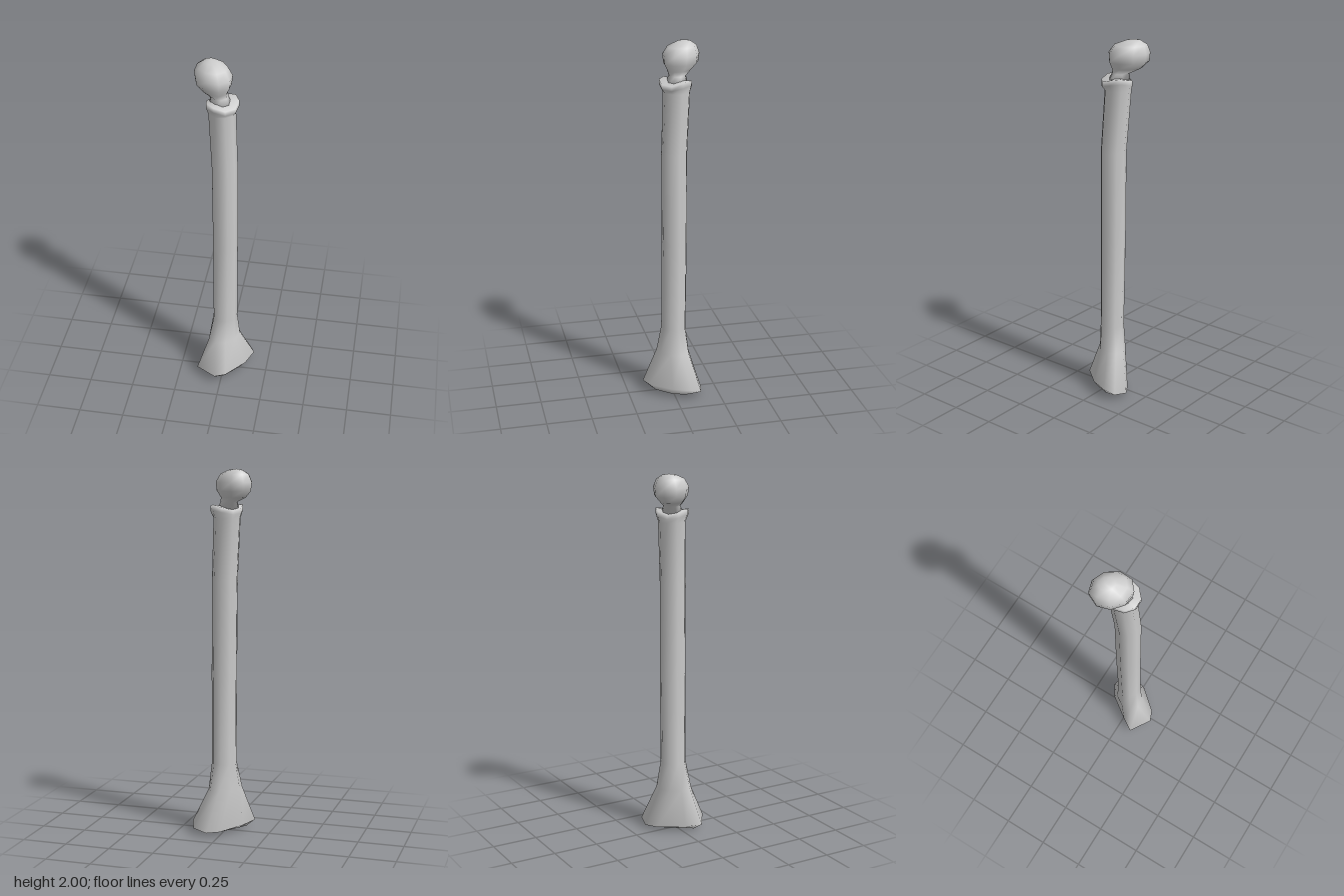
import * as THREE from 'three';

const SIDES = 9;
const D = Math.SQRT1_2;

// Oval ring whose long axis lies on the x = -z diagonal; saddle lifts its ends
function oval(y, cx, cz, long, short, saddle = 0) {
  const ring = [];
  for (let i = 0; i < SIDES; i++) {
    const t = THREE.MathUtils.degToRad(194 - (i * 360) / SIDES);
    const u = long * Math.cos(t), v = short * Math.sin(t);
    ring.push(new THREE.Vector3(cx + (u + v) * D, y + saddle * Math.cos(2 * t), cz + (v - u) * D));
  }
  return ring;
}

// Smooth skin through rings listed from bottom to top, closed at both end points
function loft(name, rings, bottom, top, material) {
  const points = [...rings.flat(), bottom, top];
  const lower = points.length - 2, upper = points.length - 1;
  const last = (rings.length - 1) * SIDES;
  const index = [];
  for (let i = 0; i < SIDES; i++) {
    const j = (i + 1) % SIDES;
    for (let r = 0; r < last; r += SIDES) {
      index.push(r + i, r + j, r + SIDES + j, r + i, r + SIDES + j, r + SIDES + i);
    }
    index.push(lower, j, i, upper, last + i, last + j);
  }
  const geometry = new THREE.BufferGeometry().setFromPoints(points);
  geometry.setIndex(index);
  geometry.computeVertexNormals();
  const mesh = new THREE.Mesh(geometry, material);
  mesh.name = name;
  return mesh;
}

export function createModel() {
  const group = new THREE.Group();
  group.name = 'bone';
  const material = new THREE.MeshStandardMaterial({ color: 0xcccccc });

  // Flared foot: irregular outline with a flat back
  const foot = [
    [-0.145, 0.045, 0.085], [-0.03, 0.055, 0.16], [0.03, 0.055, 0.135],
    [0.13, 0.06, 0.02], [0.168, 0.06, -0.08], [0.145, 0.035, -0.14],
    [0.065, 0.02, -0.16], [0, 0.02, -0.12], [-0.095, 0.03, 0.01],
  ].map((p) => new THREE.Vector3(...p));
  const sole = foot.map((p) => new THREE.Vector3(p.x * 0.7, 0.012, p.z * 0.7));

  // Slightly bowed shaft ending in a saddle-shaped collar
  group.add(loft('shaft', [
    sole,
    foot,
    oval(0.24, 0, -0.01, 0.1, 0.074),
    oval(0.39, 0.005, -0.012, 0.071, 0.066),
    oval(0.9, 0.003, -0.017, 0.071, 0.069),
    oval(1.4, 0, -0.017, 0.071, 0.07),
    oval(1.74, -0.017, -0.033, 0.074, 0.072),
    oval(1.772, -0.013, -0.028, 0.09, 0.084, 0.012),
    oval(1.798, -0.013, -0.027, 0.09, 0.082, 0.014),
  ], new THREE.Vector3(0.01, 0, 0), new THREE.Vector3(-0.025, 1.8, -0.035), material));

  // Narrow neck and knob leaning to the back right
  group.add(loft('head', [
    oval(1.78, -0.025, -0.035, 0.062, 0.06),
    oval(1.825, -0.03, -0.04, 0.046, 0.046),
    oval(1.85, -0.06, -0.058, 0.062, 0.082),
    oval(1.885, -0.066, -0.066, 0.088, 0.108),
    oval(1.93, -0.067, -0.067, 0.094, 0.112),
    oval(1.972, -0.072, -0.074, 0.074, 0.088),
    oval(1.994, -0.08, -0.085, 0.036, 0.042),
  ], new THREE.Vector3(-0.025, 1.78, -0.035), new THREE.Vector3(-0.085, 2, -0.09), material));

  return group;
}
